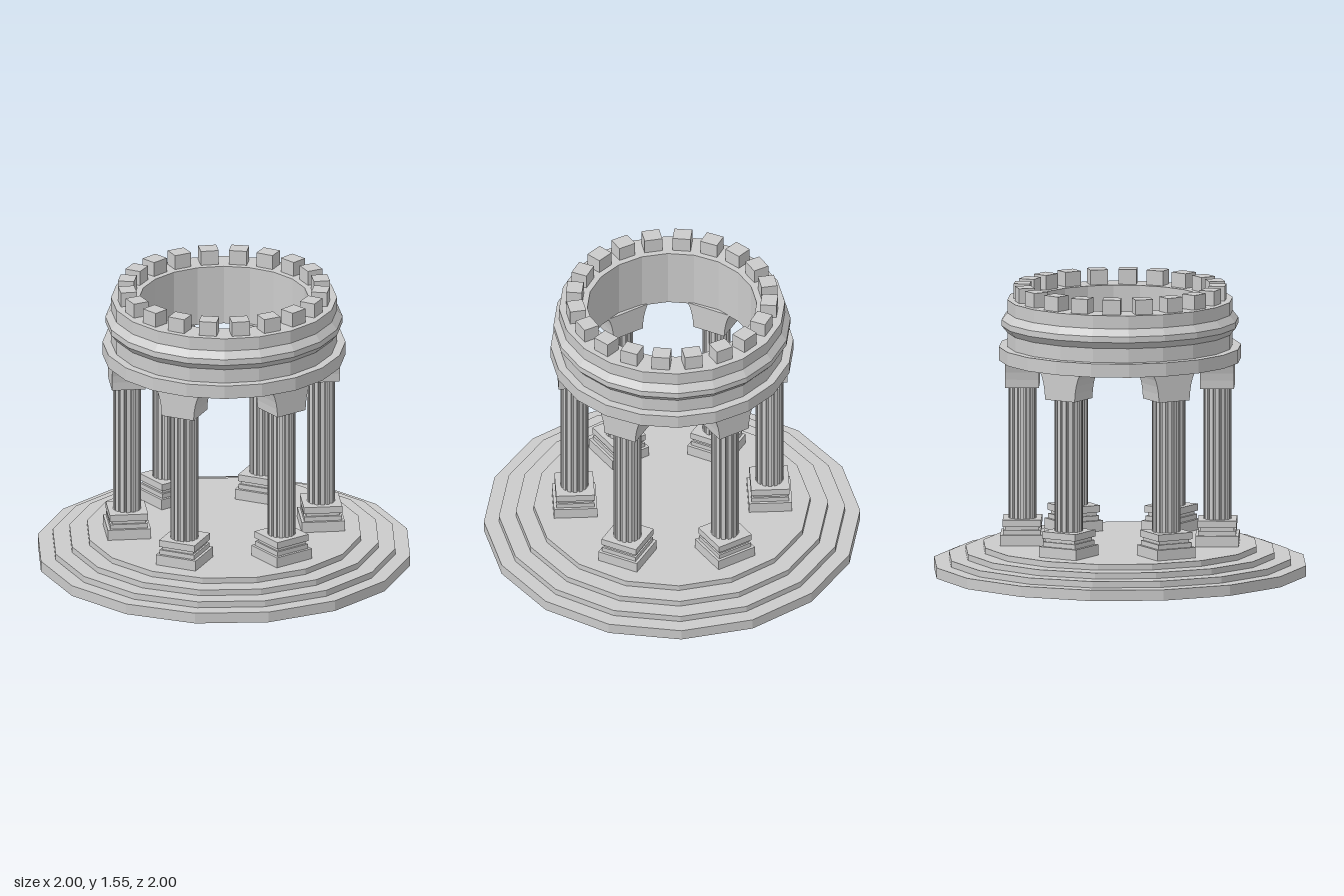
import * as THREE from 'three';

const material = new THREE.MeshStandardMaterial({ color: 0xcccccc, flatShading: true });

function add(parent, name, geometry, x = 0, y = 0, z = 0) {
  const mesh = new THREE.Mesh(geometry, material);
  mesh.name = name;
  mesh.position.set(x, y, z);
  parent.add(mesh);
  return mesh;
}

// Box standing on y0 and reaching y1
function slab(parent, name, width, depth, y0, y1) {
  return add(parent, name, new THREE.BoxGeometry(width, y1 - y0, depth), 0, (y0 + y1) / 2, 0);
}

// Column shaft with square-cut flutes
function shaftGeometry(height, outer, inner, flutes) {
  const points = [];
  const step = (Math.PI * 2) / flutes;
  for (let i = 0; i < flutes; i++) {
    for (const [t, r] of [[-0.3, outer], [0.3, outer], [0.38, inner], [0.62, inner]]) {
      const a = (i + t) * step;
      points.push(new THREE.Vector2(Math.cos(a) * r, Math.sin(a) * r));
    }
  }
  const geometry = new THREE.ExtrudeGeometry(new THREE.Shape(points), { depth: height, bevelEnabled: false });
  return geometry.rotateX(-Math.PI / 2);
}

// Capital block flaring sideways in a hollow curve
function capitalGeometry(depth) {
  const shape = new THREE.Shape();
  shape.moveTo(-0.092, 0);
  shape.lineTo(0.092, 0);
  shape.quadraticCurveTo(0.095, 0.095, 0.125, 0.15);
  shape.lineTo(-0.125, 0.15);
  shape.quadraticCurveTo(-0.095, 0.095, -0.092, 0);
  const geometry = new THREE.ExtrudeGeometry(shape, { depth, bevelEnabled: false, curveSegments: 4 });
  return geometry.translate(0, 0, -depth / 2);
}

export function createModel() {
  const model = new THREE.Group();
  model.name = 'roundPavilion';

  // Stepped round platform
  const steps = [[1.0, 0, 0.058], [0.92, 0.058, 0.092], [0.83, 0.092, 0.124], [0.735, 0.124, 0.155]];
  steps.forEach(([r, y0, y1], i) =>
    add(model, `platformStep${i + 1}`, new THREE.CylinderGeometry(r, r, y1 - y0, 16), 0, (y0 + y1) / 2, 0));

  // Six columns facing outward
  const shaft = shaftGeometry(0.73, 0.075, 0.066, 14);
  const capital = capitalGeometry(0.18);
  for (let i = 0; i < 6; i++) {
    const pivot = new THREE.Group();
    pivot.name = `columnPivot${i + 1}`;
    pivot.rotation.y = (i * Math.PI) / 3;
    const column = new THREE.Group();
    column.name = 'column';
    column.position.z = 0.518;
    slab(column, 'plinth', 0.23, 0.23, 0.15, 0.212);
    slab(column, 'plinthStep', 0.2, 0.2, 0.212, 0.237);
    slab(column, 'plinthNeck', 0.18, 0.18, 0.237, 0.255);
    slab(column, 'plinthCap', 0.205, 0.205, 0.255, 0.292);
    add(column, 'shaft', shaft, 0, 0.28, 0);
    add(column, 'capital', capital, 0, 1.0, 0);
    pivot.add(column);
    model.add(pivot);
  }

  // Ring beam with a projecting lower band and a pointed moulding
  const profile = [
    [0.45, 1.145], [0.645, 1.145], [0.645, 1.218], [0.6, 1.218], [0.6, 1.294], [0.63, 1.33],
    [0.63, 1.362], [0.6, 1.4], [0.6, 1.47], [0.45, 1.47], [0.45, 1.145],
  ].map(([x, y]) => new THREE.Vector2(x, y));
  add(model, 'ringBeam', new THREE.LatheGeometry(profile, 20));

  // Small blocks standing around the top
  const block = new THREE.BoxGeometry(0.096, 0.09, 0.086);
  for (let i = 0; i < 20; i++) {
    const a = ((i + 0.5) / 20) * Math.PI * 2;
    const merlon = add(model, 'topBlock', block, Math.sin(a) * 0.519, 1.504, Math.cos(a) * 0.519);
    merlon.rotation.y = a;
  }

  return model;
}
